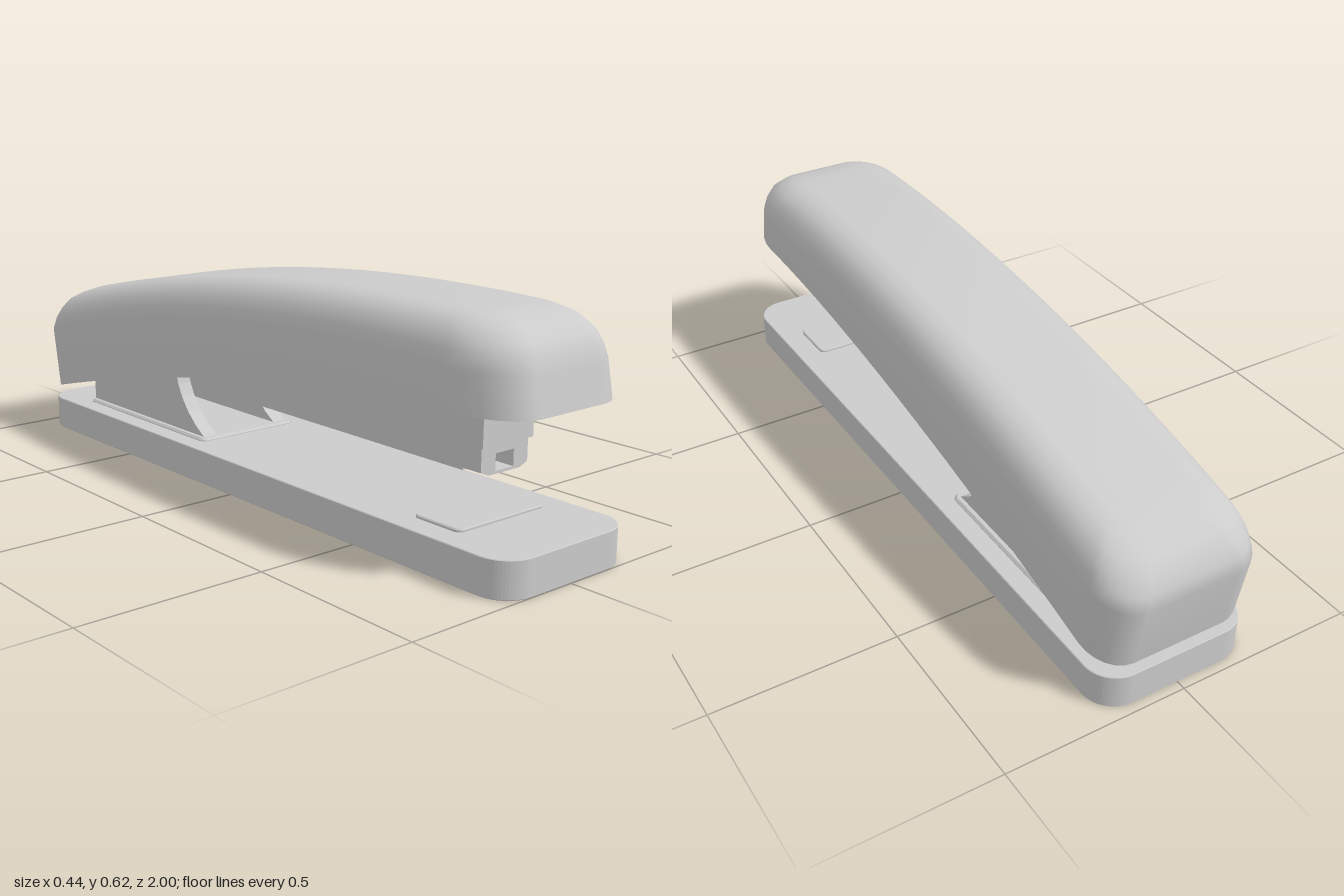
import * as THREE from 'three';
import { mergeVertices } from 'three/addons/utils/BufferGeometryUtils.js';

const material = new THREE.MeshStandardMaterial({ color: 0xcccccc });

// Curves of the cover, as height over z
const coverTop = z => 0.617 - 0.087 * (0.55 - z) ** 2;
const coverBottom = z => 0.4 - 0.109 * Math.max(0, 0.8 - z) ** 1.66;

function add(parent, name, geometry, x = 0, y = 0, z = 0) {
  const mesh = new THREE.Mesh(geometry, material);
  mesh.name = name;
  mesh.position.set(x, y, z);
  parent.add(mesh);
  return mesh;
}

// Rounded slab lying flat, standing on y = 0
function slab(width, length, height, radius, bevel) {
  const w = width / 2 - bevel, l = length / 2 - bevel, r = radius - bevel;
  const s = new THREE.Shape();
  s.absarc(w - r, l - r, r, 0, Math.PI / 2);
  s.absarc(-w + r, l - r, r, Math.PI / 2, Math.PI);
  s.absarc(-w + r, -l + r, r, Math.PI, Math.PI * 1.5);
  s.absarc(w - r, -l + r, r, Math.PI * 1.5, Math.PI * 2);
  const g = new THREE.ExtrudeGeometry(s, {
    depth: height - 2 * bevel, bevelEnabled: bevel > 0, bevelSize: bevel,
    bevelThickness: bevel, bevelSegments: 1, curveSegments: 8,
  });
  return g.rotateX(-Math.PI / 2).translate(0, bevel, 0);
}

// Side outline of [z, y] points, extruded across x and centred
function sidePlate(points, thickness) {
  const s = new THREE.Shape(points.map(p => new THREE.Vector2(...p)));
  const g = new THREE.ExtrudeGeometry(s, { depth: thickness, bevelEnabled: false });
  return g.rotateY(-Math.PI / 2).translate(thickness / 2, 0, 0);
}

// Points just inside the cover's lower edge, from z0 to z1
function underCover(z0, z1, n = 12) {
  return Array.from({ length: n + 1 }, (_, i) => {
    const z = z0 + (z1 - z0) * i / n;
    return [z, coverBottom(z) + 0.015];
  });
}

// Half of a plan outline, from the front centre along +x to the rear centre
function halfOutline(w, front, rear, cf, cr) {
  const pts = [[0, front]];
  for (let i = 0; i <= 6; i++) {
    const a = i / 6 * Math.PI / 2;
    pts.push([w - cf[0] * (1 - Math.sin(a)), front - cf[1] * (1 - Math.cos(a))]);
  }
  for (let i = 1; i < 24; i++) {
    pts.push([w, THREE.MathUtils.lerp(front - cf[1], rear + cr[1], i / 24)]);
  }
  for (let i = 0; i <= 6; i++) {
    const a = i / 6 * Math.PI / 2;
    pts.push([w - cr[0] * (1 - Math.cos(a)), rear + cr[1] * (1 - Math.sin(a))]);
  }
  pts.push([0, rear]);
  return pts;
}

// Cover skin: stacked outlines, mirrored over the top
function coverGeometries() {
  // half width, front z, rear z, front corner, rear corner, drop below the top
  const rings = [
    [0.219, 0.985, -0.965, [0.11, 0.17], [0.09, 0.10], null],
    [0.219, 0.967, -0.997, [0.11, 0.17], [0.09, 0.10], 0.11],
    [0.211, 0.957, -0.988, [0.11, 0.165], [0.09, 0.10], 0.075],
    [0.197, 0.940, -0.973, [0.10, 0.16], [0.09, 0.10], 0.046],
    [0.175, 0.905, -0.947, [0.09, 0.14], [0.08, 0.09], 0.021],
    [0.145, 0.865, -0.910, [0.075, 0.11], [0.07, 0.08], 0.008],
    [0.110, 0.810, -0.860, [0.06, 0.08], [0.06, 0.06], 0],
  ].map(([w, f, r, cf, cr, drop]) => halfOutline(w, f, r, cf, cr).map(([x, z]) =>
    [x, drop === null ? coverBottom(z) : coverTop(z) - drop, z]));

  const columns = rings[0].map((_, i) => {
    const right = rings.map(ring => ring[i]);
    return [...right, ...right.map(([x, y, z]) => [-x, y, z]).reverse()];
  });
  const n = columns[0].length;
  const build = (from, to) => {
    const index = [];
    for (let i = 0; i < columns.length - 1; i++) {
      for (let j = from; j < to; j++) {
        const a = i * n + j, b = a + n;
        const c = i * n + (j + 1) % n, d = c + n;
        index.push(a, b, d, a, d, c);
      }
    }
    let g = new THREE.BufferGeometry();
    g.setAttribute('position', new THREE.Float32BufferAttribute(columns.flat(2), 3));
    g.setIndex(index);
    g = mergeVertices(g, 1e-5);
    g.computeVertexNormals();
    return g;
  };
  return [build(0, n - 1), build(n - 1, n)];
}

export function createModel() {
  const model = new THREE.Group();
  model.name = 'stapler';

  // Base with the raised anvil plate and the hinge plate
  add(model, 'base', slab(0.438, 1.975, 0.095, 0.085, 0.002), 0, 0, 0.0125);
  add(model, 'anvilPlate', slab(0.30, 0.155, 0.018, 0.02, 0.003), 0, 0.085, 0.715);
  add(model, 'hingePlate', slab(0.33, 0.61, 0.018, 0.02, 0.006), 0, 0.085, -0.5);

  // Cover
  const cover = new THREE.Group();
  cover.name = 'cover';
  model.add(cover);
  const [skin, underside] = coverGeometries();
  add(cover, 'coverSkin', skin);
  add(cover, 'coverUnderside', underside);

  // Hinge brackets, one on each side
  const bracket = [
    [-0.8, 0.09], [-0.2, 0.09], [-0.21, 0.1], [-0.255, 0.13], [-0.29, 0.162],
    [-0.32, 0.2], [-0.338, 0.235], ...underCover(-0.35, -0.8),
  ];
  for (const side of [1, -1]) {
    add(model, side > 0 ? 'leftBracket' : 'rightBracket', sidePlate(bracket, 0.043), side * 0.1265);
  }

  // Magazine rail under the cover, with a thin lower tray
  const magazine = new THREE.Group();
  magazine.name = 'magazine';
  model.add(magazine);
  add(magazine, 'rail', sidePlate([[-0.55, 0.226], [0.72, 0.226], ...underCover(0.72, -0.55)], 0.16));
  add(magazine, 'tray', new THREE.BoxGeometry(0.15, 0.012, 1.25), 0, 0.223, 0.1);

  // Front end of the magazine with the staple slot
  const nose = new THREE.Shape([
    [-0.053, 0.214], [0.053, 0.214], [0.08, 0.225], [0.08, 0.41], [-0.08, 0.41], [-0.08, 0.225],
  ].map(p => new THREE.Vector2(...p)));
  nose.holes.push(new THREE.Path([
    [-0.031, 0.221], [-0.031, 0.264], [0.031, 0.264], [0.031, 0.221],
  ].map(p => new THREE.Vector2(...p))));
  add(magazine, 'nose', new THREE.ExtrudeGeometry(nose, { depth: 0.07, bevelEnabled: false }), 0, 0, 0.718);

  // Clip wrapped around the front end
  add(magazine, 'frontClip', sidePlate([
    [0.71, 0.41], [0.71, 0.305], [0.715, 0.291], [0.728, 0.286], [0.798, 0.286], [0.798, 0.41],
  ], 0.173));

  return model;
}
